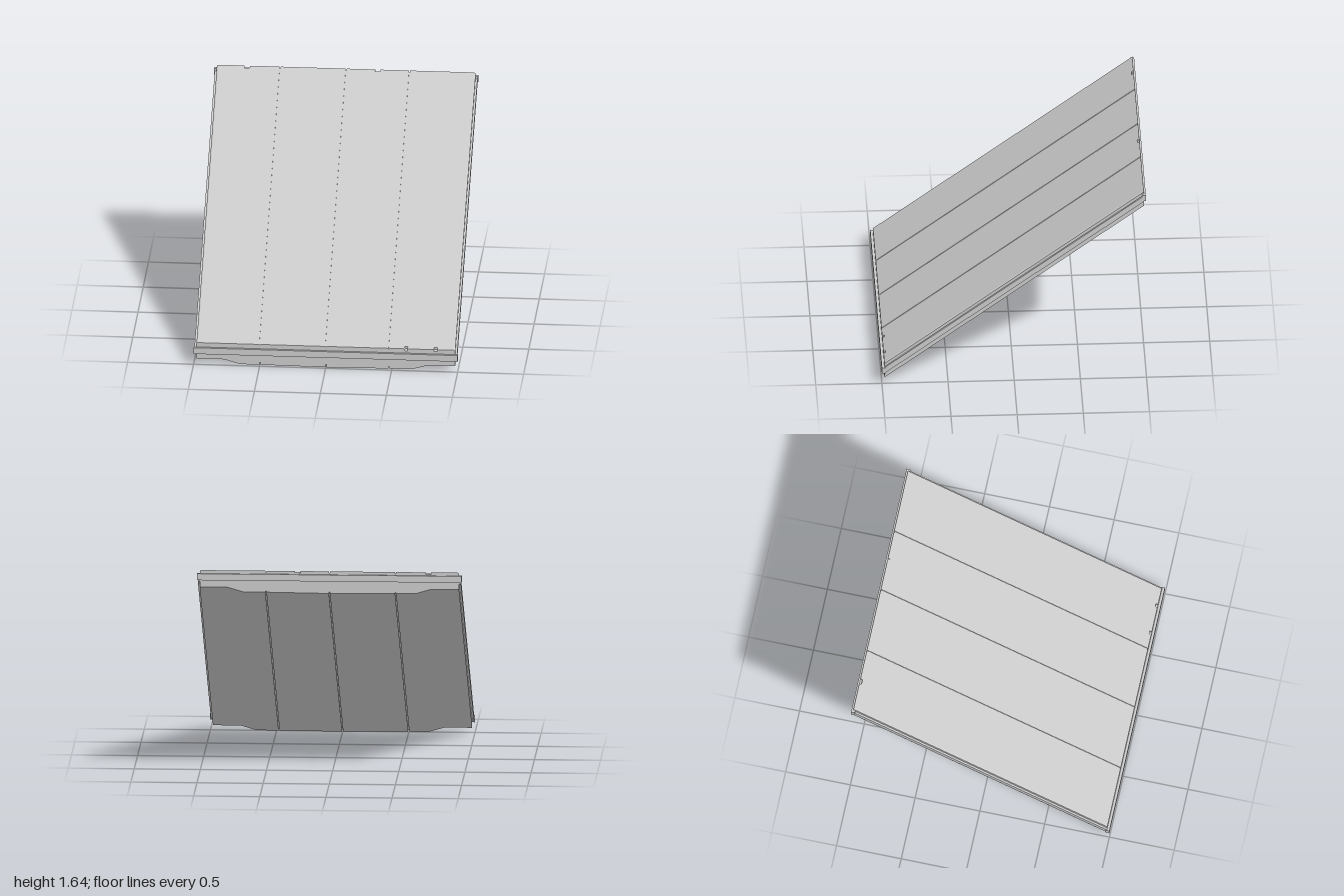
import * as THREE from 'three';

const SLOPE = 0.7475; // rise per unit of depth
const END = 0.98;     // half depth of the boards
const TOP = 0.17, EDGE = 0.04, BOTTOM = 0;

const material = new THREE.MeshStandardMaterial({ color: 0xcccccc, flatShading: true });

// Extrudes a front profile from z0 to z1, then shears it up along the slope
function slopedPrism(name, points, z0, z1) {
  const shape = new THREE.Shape(points.map(([x, y]) => new THREE.Vector2(x, y)));
  const geo = new THREE.ExtrudeGeometry(shape, { depth: z1 - z0, bevelEnabled: false });
  geo.translate(0, 0, z0);
  const pos = geo.attributes.position;
  for (let i = 0; i < pos.count; i++) {
    pos.setY(i, pos.getY(i) + SLOPE * (END - pos.getZ(i)));
  }
  geo.computeVertexNormals();
  const mesh = new THREE.Mesh(geo, material);
  mesh.name = name;
  return mesh;
}

// Underside and top outlines; the outer boards thin out towards the sides
const gap = 0.004;
const boards = [
  { under: [[-0.98, EDGE], [-0.77, EDGE], [-0.65, 0.005], [-0.5 - gap, 0.005]],
    top: [[-0.5 - gap, TOP], [-0.97, TOP], [-0.98, TOP - 0.008]],
    back: [[-0.77, -0.73]], front: [] },
  { under: [[-0.5 + gap, 0.005], [-gap, BOTTOM]],
    top: [[-gap, TOP], [-0.5 + gap, TOP]],
    back: [], front: [] },
  { under: [[gap, BOTTOM], [0.48 - gap, 0.005]],
    top: [[0.48 - gap, TOP], [gap, TOP]],
    back: [[0.22, 0.26]], front: [] },
  { under: [[0.48 + gap, 0.005], [0.65, 0.005], [0.77, EDGE], [0.98, EDGE]],
    top: [[0.98, TOP - 0.008], [0.97, TOP], [0.48 + gap, TOP]],
    back: [], front: [[0.595, 0.62], [0.82, 0.845]] },
];

// Board profile with small nicks cut into its top edge
function profile(board, nicks) {
  const cuts = [...nicks].reverse().flatMap(([a, b]) =>
    [[b, TOP], [b, TOP - 0.016], [a, TOP - 0.016], [a, TOP]]);
  const top = [...board.top];
  top.splice(top.length === 3 && top[0][0] > 0 ? 2 : 1, 0, ...cuts);
  return [...board.under, ...top];
}

export function createModel() {
  const group = new THREE.Group();
  group.name = 'slopedPanel';

  // Four boards, each with thin end slices that carry the nicks
  boards.forEach((board, i) => {
    const part = new THREE.Group();
    part.name = `board${i + 1}`;
    const cut = 0.016;
    part.add(
      slopedPrism('boardBody', profile(board, []), -END + cut, END - cut),
      slopedPrism('boardBackEnd', profile(board, board.back), -END, -END + cut),
      slopedPrism('boardFrontEnd', profile(board, board.front), END - cut, END),
    );
    group.add(part);
  });

  // Core that closes the seams between the boards
  group.add(slopedPrism('core',
    [[-0.6, 0.015], [0.6, 0.015], [0.6, TOP - 0.01], [-0.6, TOP - 0.01]], -0.975, 0.975));

  // Side strips following the slope
  for (const [name, s] of [['leftStrip', 1], ['rightStrip', -1]]) {
    const x0 = Math.min(s * 0.975, s * 0.995), x1 = Math.max(s * 0.975, s * 0.995);
    group.add(slopedPrism(name, [[x0, 0.085], [x1, 0.085], [x1, 0.135], [x0, 0.135]], -0.98, 0.98));
  }

  // Rails across the lower front and upper back ends
  for (const [name, y, z] of [['frontRail', 0.11, 0.985], ['backRail', 1.585, -0.98]]) {
    const rail = new THREE.Mesh(new THREE.BoxGeometry(2, 0.05, 0.03), material);
    rail.name = name;
    rail.position.set(0, y, z);
    group.add(rail);
  }
  return group;
}
